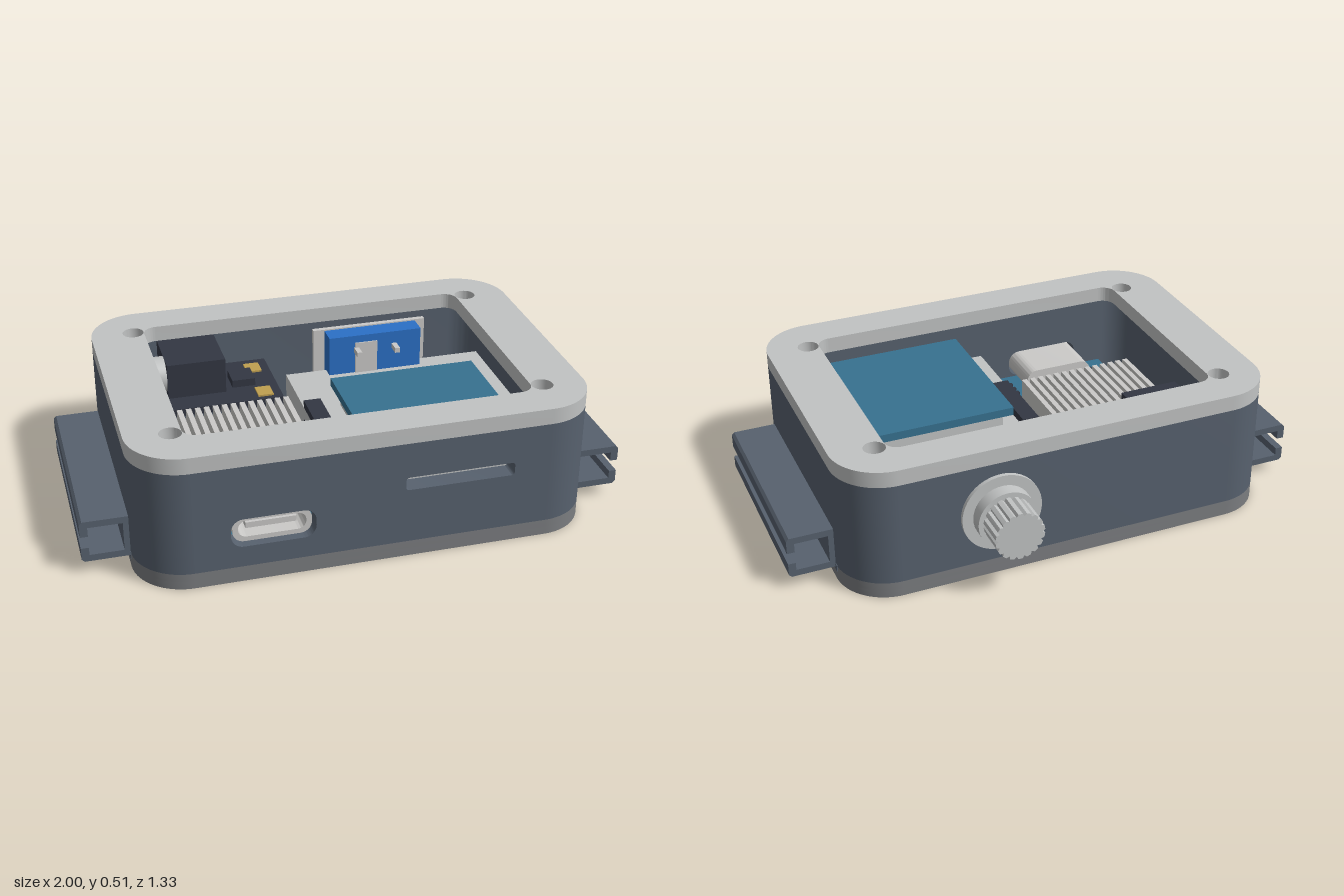
import * as THREE from 'three';
import { toCreasedNormals } from 'three/addons/utils/BufferGeometryUtils.js';

const mat = (name, color) => new THREE.MeshStandardMaterial({ name, color });

export function createModel() {
  const model = new THREE.Group();
  const slate = mat('slate', 0x57616e), pale = mat('paleGrey', 0xc1c3c3), grey = mat('midGrey', 0x7b7d80);
  const teal = mat('teal', 0x37718f), blue = mat('blue', 0x2b70c6), dark = mat('charcoal', 0x333743);
  const gold = mat('gold', 0xbf9f50), metal = mat('metal', 0xcbcac8);

  const add = (name, geo, material, parent = model) => {
    const mesh = new THREE.Mesh(geo, material);
    mesh.name = name;
    parent.add(mesh);
    return mesh;
  };
  const group = (name) => {
    const g = new THREE.Group();
    g.name = name;
    model.add(g);
    return g;
  };
  // box from its limits on each axis
  const box = (name, m, x0, x1, y0, y1, z0, z1, parent) => {
    const mesh = add(name, new THREE.BoxGeometry(x1 - x0, y1 - y0, z1 - z0), m, parent);
    mesh.position.set((x0 + x1) / 2, (y0 + y1) / 2, (z0 + z1) / 2);
    return mesh;
  };
  const roundRect = (x0, x1, y0, y1, r, S = THREE.Shape) => {
    const s = new S();
    s.absarc(x1 - r, y1 - r, r, 0, Math.PI / 2);
    s.absarc(x0 + r, y1 - r, r, Math.PI / 2, Math.PI);
    s.absarc(x0 + r, y0 + r, r, Math.PI, Math.PI * 1.5);
    s.absarc(x1 - r, y0 + r, r, Math.PI * 1.5, Math.PI * 2);
    s.closePath();
    return s;
  };
  const circle = (x, y, r) => new THREE.Path().absarc(x, y, r, 0, Math.PI * 2);
  const extrude = (shape, depth) => toCreasedNormals(
    new THREE.ExtrudeGeometry(shape, { depth, bevelEnabled: false, curveSegments: 12 }), 0.5);
  // plan shapes use (x, -z) and rise from y
  const rise = (name, shape, y, h, m) => {
    const mesh = add(name, extrude(shape, h).rotateX(-Math.PI / 2), m);
    mesh.position.y = y;
    return mesh;
  };
  const cyl = (name, m, r, h, x, y, z, axis, parent, sides = 32) => {
    const geo = new THREE.CylinderGeometry(r, r, h, sides);
    if (axis === 'z') geo.rotateX(Math.PI / 2);
    if (axis === 'x') geo.rotateZ(Math.PI / 2);
    const mesh = add(name, geo, m, parent);
    mesh.position.set(x, y, z);
    return mesh;
  };

  // ---- Case: base, walls, lid
  const outline = () => roundRect(-0.83, 0.83, -0.665, 0.49, 0.19);
  const screws = [[-0.67, 0.32], [0.67, 0.32], [-0.67, -0.485], [0.67, -0.485]];
  for (const [name, y, h, r, m] of [['baseBottom', 0, 0.03, 0.06, grey], ['baseFloor', 0.03, 0.03, 0.04, grey],
    ['lid', 0.455, 0.06, 0.04, pale]]) {
    const s = outline();
    for (const [x, v] of screws) s.holes.push(circle(x, v, r));
    if (name === 'lid') s.holes.push(roundRect(-0.63, 0.63, -0.52, 0.35, 0.05, THREE.Path));
    rise(name, s, y, h, m);
  }
  // side and back walls as one open loop, closed by the front panel
  const wall = new THREE.Shape();
  wall.moveTo(0.64, -0.665);
  wall.absarc(0.64, -0.475, 0.19, -Math.PI / 2, 0);
  wall.absarc(0.64, 0.30, 0.19, 0, Math.PI / 2);
  wall.absarc(-0.64, 0.30, 0.19, Math.PI / 2, Math.PI);
  wall.absarc(-0.64, -0.475, 0.19, Math.PI, Math.PI * 1.5);
  wall.lineTo(-0.64, -0.595);
  wall.absarc(-0.64, -0.475, 0.12, Math.PI * 1.5, Math.PI, true);
  wall.absarc(-0.64, 0.30, 0.12, Math.PI, Math.PI / 2, true);
  wall.absarc(0.64, 0.30, 0.12, Math.PI / 2, 0, true);
  wall.absarc(0.64, -0.475, 0.12, 0, -Math.PI / 2, true);
  rise('walls', wall, 0.06, 0.395, slate);
  const panel = new THREE.Shape();
  panel.moveTo(-0.64, 0.06).lineTo(0.64, 0.06).lineTo(0.64, 0.455).lineTo(-0.64, 0.455).closePath();
  panel.holes.push(roundRect(-0.51, -0.21, 0.14, 0.25, 0.045, THREE.Path));
  panel.holes.push(roundRect(0.11, 0.51, 0.27, 0.32, 0.012, THREE.Path));
  add('frontPanel', extrude(panel, 0.07), slate).position.z = 0.595;

  // ---- Strap rails: C-shaped channels on both sides
  const pts = [[0.82, 0.05], [0.99, 0.05], [1, 0.06], [1, 0.105], [0.972, 0.105], [0.972, 0.075], [0.85, 0.075],
    [0.85, 0.185], [0.972, 0.185], [0.972, 0.15], [1, 0.15], [1, 0.2], [0.99, 0.21], [0.82, 0.21]];
  for (const side of [1, -1]) {
    const s = new THREE.Shape(pts.map(([x, y]) => new THREE.Vector2(x * side, y)));
    add(side > 0 ? 'leftRail' : 'rightRail', extrude(s, 0.78), slate).position.z = -0.3;
    box('railFoot', slate, side * 0.815 - 0.017, side * 0.815 + 0.017, 0.04, 0.065, -0.32, 0.49);
  }

  // ---- Main circuit board with pads, buttons and small chips
  const board = group('mainBoard');
  box('boardPlate', teal, -0.625, -0.08, 0.11, 0.14, -0.12, 0.59, board);
  for (let i = 0; i < 8; i++) for (const x of [-0.605, -0.11, -0.085])
    cyl('pinPad', grey, 0.015, 0.006, x, 0.142, -0.08 + i * 0.0795, 'y', board, 12);
  for (const x of [-0.495, -0.235]) {
    box('button', dark, x - 0.045, x + 0.045, 0.14, 0.18, 0.29, 0.375, board);
    cyl('buttonCap', dark, 0.022, 0.02, x, 0.185, 0.332, 'y', board, 16);
  }
  box('chip', dark, -0.388, -0.342, 0.14, 0.165, 0.305, 0.355, board);
  for (const x of [-0.545, -0.18]) for (const z of [0.44, 0.475, 0.51])
    box('smallChip', dark, x - 0.01, x + 0.01, 0.14, 0.152, z - 0.008, z + 0.008, board);
  box('sideConnector', dark, -0.08, -0.015, 0.14, 0.3, -0.01, 0.3, board);

  // ---- Port in the front wall
  const port = group('chargingPort');
  const shell = roundRect(-0.5, -0.22, 0.145, 0.245, 0.042);
  shell.holes.push(roundRect(-0.48, -0.24, 0.163, 0.227, 0.03, THREE.Path));
  add('portShell', extrude(shell, 0.22), metal, port).position.z = 0.42;
  box('portBack', metal, -0.485, -0.235, 0.16, 0.23, 0.425, 0.45, port);
  box('portTongue', metal, -0.45, -0.27, 0.184, 0.206, 0.45, 0.62, port);
  for (let i = 0; i < 8; i++)
    box('portPin', metal, -0.47 + i * 0.03, -0.458 + i * 0.03, 0.14, 0.16, 0.4, 0.43, port);

  // ---- Heat sink with fins
  const sink = group('heatSink');
  box('sinkBase', metal, -0.595, -0.13, 0.14, 0.22, -0.05, 0.27, sink);
  for (let i = 0; i < 14; i++) {
    const x = -0.595 + i * 0.0342;
    box('fin', metal, x, x + 0.02, 0.22, 0.305, -0.05, 0.27, sink);
  }

  // ---- Camera board at the back corner
  const cam = group('sensorBoard');
  box('sensorPlate', dark, -0.63, -0.14, 0.26, 0.29, -0.415, -0.08, cam);
  box('sensorBlock', dark, -0.57, -0.345, 0.29, 0.43, -0.41, -0.175, cam);
  box('sensorChip', dark, -0.315, -0.225, 0.29, 0.32, -0.295, -0.2, cam);
  cyl('sensorBarrel', pale, 0.07, 0.08, -0.61, 0.36, -0.25, 'x', cam);
  for (const x of [-0.6, -0.205]) for (const z of [-0.34, -0.135])
    box('goldPad', gold, x - 0.03, x + 0.03, 0.29, 0.297, z - 0.035, z + 0.035, cam);

  // ---- Battery and the board above it
  box('battery', pale, -0.08, 0.72, 0.07, 0.27, -0.29, 0.585);
  box('boardSpacer', pale, 0.06, 0.57, 0.27, 0.34, 0.01, 0.56);
  box('upperBoard', teal, 0.03, 0.597, 0.34, 0.372, -0.025, 0.585);

  // ---- Rotary control: inside body, bushing and fluted knob
  const dial = group('rotaryControl');
  box('controlBody', blue, 0.085, 0.46, 0.1, 0.43, -0.345, -0.24, dial);
  box('controlBracket', metal, 0.04, 0.5, 0.1, 0.435, -0.335, -0.315, dial);
  box('controlFace', metal, 0.19, 0.28, 0.25, 0.4, -0.25, -0.235, dial);
  for (const x of [0.195, 0.35]) box('controlPin', metal, x - 0.01, x + 0.01, 0.36, 0.38, -0.28, -0.19, dial);
  cyl('bushing', metal, 0.07, 0.16, 0.275, 0.26, -0.41, 'z', dial);
  cyl('flange', pale, 0.15, 0.015, 0.275, 0.26, -0.4975, 'z', dial, 48);
  cyl('collar', pale, 0.11, 0.05, 0.275, 0.26, -0.53, 'z', dial, 40);
  const flutes = [];
  for (let i = 0; i < 72; i++) {
    const a = i / 72 * Math.PI * 2, r = i % 4 === 0 ? 0.082 : 0.092;
    flutes.push(new THREE.Vector2(Math.cos(a) * r, Math.sin(a) * r));
  }
  add('knob', extrude(new THREE.Shape(flutes), 0.11), pale, dial).position.set(0.275, 0.26, -0.665);

  return model;
}
